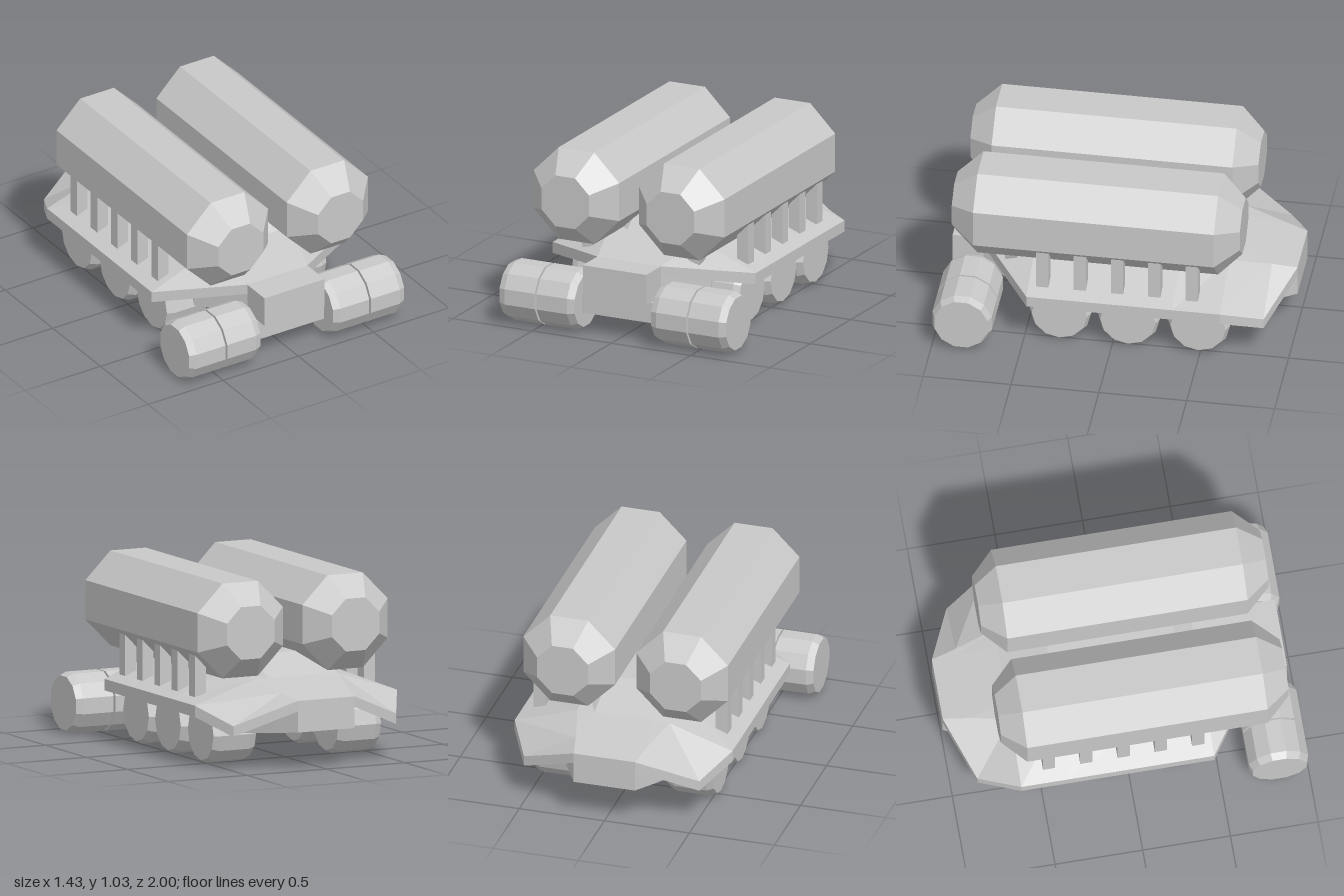
import * as THREE from 'three';

export function createModel() {
  const model = new THREE.Group();
  const grey = new THREE.MeshStandardMaterial({ color: 0xc8c8c8, flatShading: true });
  grey.name = 'grey';

  function add(geometry, name, x = 0, y = 0, z = 0) {
    const mesh = new THREE.Mesh(geometry, grey);
    mesh.name = name;
    mesh.position.set(x, y, z);
    model.add(mesh);
    return mesh;
  }

  // Faceted solid of revolution lying along x or z; profile is [radius, offset]
  function drum(profile, sides, phase, axis) {
    const points = profile.map(([r, h]) => new THREE.Vector2(r, h));
    const g = new THREE.LatheGeometry(points, sides, phase);
    return axis === 'x' ? g.rotateZ(-Math.PI / 2) : g.rotateX(Math.PI / 2);
  }

  // Hull: half cross-sections (roof, deck plate edge, keel), front to back
  const sections = [
    [0.96, [0.17, 0.42], [0.2, 0.42], [0.2, 0.42], [0.2, 0.36], [0.2, 0.36], [0.2, 0.24]],
    [0.78, [0.17, 0.42], [0.2, 0.42], [0.2, 0.42], [0.2, 0.36], [0.2, 0.36], [0.2, 0.24]],
    [0.47, [0.17, 0.495], [0.28, 0.495], [0.64, 0.355], [0.64, 0.29], [0.36, 0.37], [0.36, 0.18]],
    [0.36, [0.17, 0.575], [0.28, 0.495], [0.64, 0.355], [0.64, 0.29], [0.36, 0.37], [0.36, 0.18]],
    [-0.36, [0.17, 0.575], [0.3, 0.495], [0.64, 0.355], [0.64, 0.29], [0.36, 0.37], [0.36, 0.18]],
    [-0.63, [0.17, 0.48], [0.27, 0.475], [0.64, 0.355], [0.64, 0.29], [0.36, 0.37], [0.36, 0.18]],
    [-0.86, [0.17, 0.43], [0.21, 0.43], [0.515, 0.26], [0.515, 0.2], [0.25, 0.33], [0.25, 0.204]],
    [-1.0, [0.17, 0.4], [0.18, 0.4], [0.18, 0.4], [0.18, 0.34], [0.18, 0.34], [0.18, 0.22]],
  ];
  const positions = [];
  const index = [];
  for (const [z, ...half] of sections) {
    const mirrored = half.map(([x, y]) => [-x, y]).reverse();
    for (const [x, y] of [...half, ...mirrored]) positions.push(x, y, z);
  }
  const n = 12;
  const last = (sections.length - 1) * n;
  for (let i = 0; i < last; i += n) {
    for (let j = 0; j < n; j++) {
      const a = i + j, b = i + (j + 1) % n;
      index.push(a, b, a + n, b, b + n, a + n);
    }
  }
  for (let j = 1; j < n - 1; j++) {
    index.push(0, j + 1, j, last, last + j, last + j + 1);
  }
  const hull = new THREE.BufferGeometry();
  hull.setAttribute('position', new THREE.Float32BufferAttribute(positions, 3));
  hull.setIndex(index);
  const hullFlat = hull.toNonIndexed();
  hullFlat.computeVertexNormals();
  add(hullFlat, 'hull');

  // Front axle
  add(new THREE.BoxGeometry(0.56, 0.12, 0.12), 'frontAxle', 0, 0.175, 0.83);

  const tank = drum(
    [[0, -0.72], [0.162, -0.72], [0.292, -0.59], [0.292, 0.78], [0.162, 0.92], [0, 0.92]],
    8, Math.PI / 8, 'z');
  const wheel = drum(
    [[0, -0.135], [0.157, -0.135], [0.175, -0.095], [0.175, 0.095], [0.157, 0.135], [0, 0.135]],
    12, 0, 'x');
  // Paired front rollers with a narrow groove between them
  const rollers = drum(
    [[0, -0.237], [0.157, -0.237], [0.175, -0.197], [0.175, -0.006], [0.15, -0.006],
      [0.15, 0.006], [0.175, 0.006], [0.175, 0.197], [0.157, 0.237], [0, 0.237]],
    12, Math.PI / 12, 'x');

  for (const side of [-1, 1]) {
    add(tank, 'tank', side * 0.332, 0.76, 0);
    add(rollers, 'frontRollers', side * 0.478, 0.175, 0.83);
    for (const z of [0.3, -0.09, -0.49]) add(wheel, 'wheel', side * 0.395, 0.175, z);

    // Row of posts carrying the tank
    for (let i = 0; i < 5; i++) {
      add(new THREE.BoxGeometry(0.07, 0.24, 0.07), 'tankPost', side * 0.535, 0.5, 0.39 - i * 0.2125);
    }
    // Slanted front brace
    const brace = add(new THREE.BoxGeometry(0.075, 0.13, 0.07), 'frontBrace', side * 0.347, 0.482, 0.6);
    brace.rotation.z = -side * 0.25;
  }
  return model;
}
